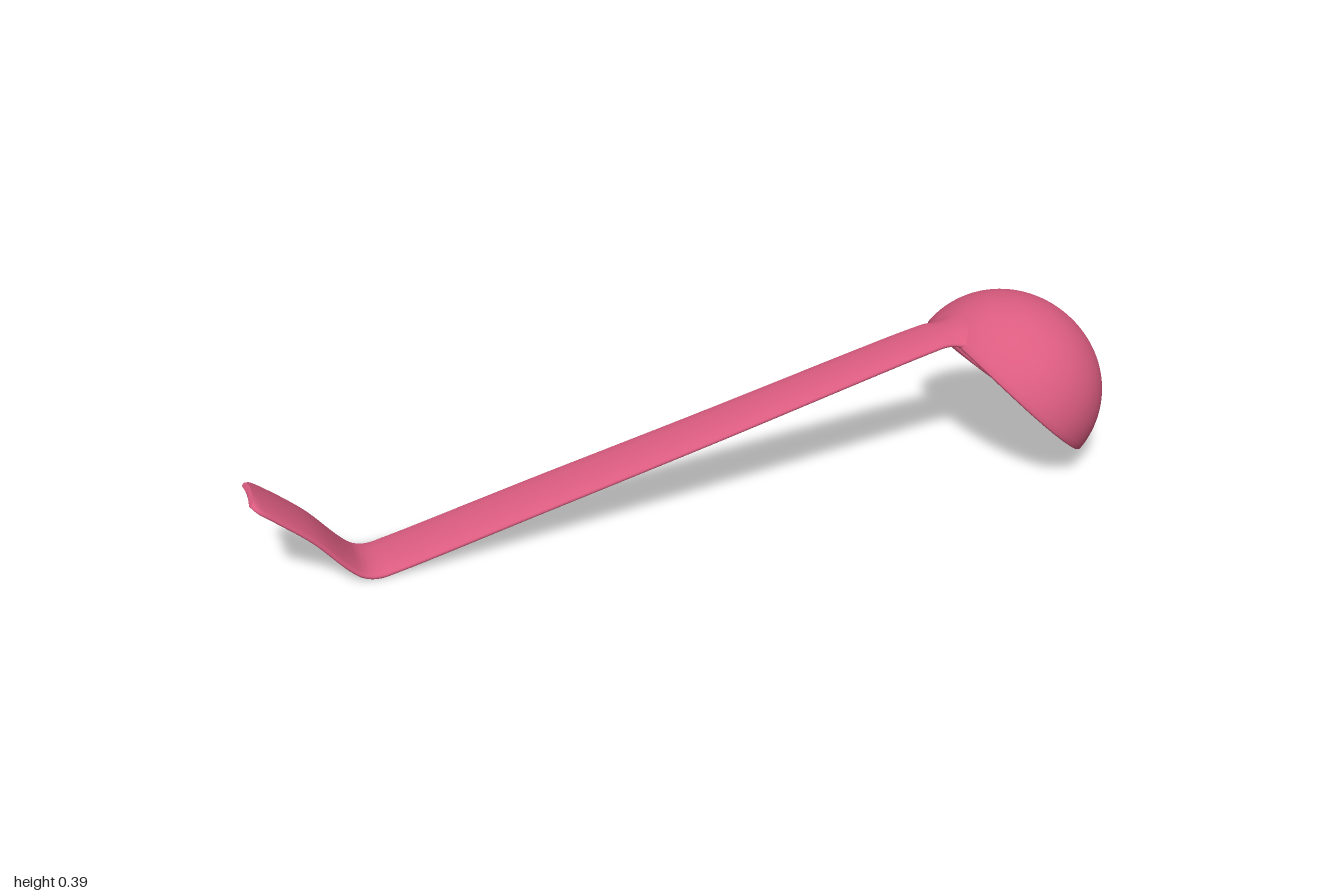
import * as THREE from 'three';
import { mergeVertices } from 'three/addons/utils/BufferGeometryUtils.js';

// Skin closed rings of points (first and last rings are collapsed to caps).
function loft(rings) {
  const n = rings[0].length;
  const index = [];
  for (let i = 0; i < rings.length - 1; i++) {
    for (let j = 0; j < n; j++) {
      const k = (j + 1) % n;
      const a = i * n + j, b = a + n, c = i * n + k, d = c + n;
      index.push(a, c, b, b, c, d);
    }
  }
  const geo = new THREE.BufferGeometry();
  geo.setAttribute('position', new THREE.Float32BufferAttribute(rings.flat(2), 3));
  geo.setIndex(index);
  const merged = mergeVertices(geo, 1e-5);
  merged.computeVertexNormals();
  return merged;
}

// Handle: arched strip following a bent path, flaring into the bowl.
function handleGeometry() {
  // x, y of the upper face and half width
  const path = new THREE.CatmullRomCurve3([
    [-0.998, 0.229, 0.05], [-0.985, 0.219, 0.066], [-0.95, 0.191, 0.071], [-0.88, 0.129, 0.073],
    [-0.81, 0.048, 0.074], [-0.785, 0.027, 0.074], [-0.76, 0.021, 0.074], [-0.72, 0.028, 0.074],
    [-0.4, 0.105, 0.073], [0, 0.2, 0.069], [0.5, 0.323, 0.063], [0.57, 0.338, 0.062],
    [0.595, 0.343, 0.065], [0.615, 0.347, 0.077], [0.635, 0.354, 0.1], [0.655, 0.361, 0.122],
  ].map((p) => new THREE.Vector3(...p)));
  const rings = [];
  const steps = 120, half = 14;
  for (let i = 0; i <= steps; i++) {
    const p = path.getPoint(i / steps);
    const t = path.getTangent(i / steps);
    const len = Math.hypot(t.x, t.y);
    const nx = -t.y / len, ny = t.x / len;
    const drop = 0.008 + 0.024 * THREE.MathUtils.smoothstep(p.x, 0.56, 0.65);
    const ring = [];
    for (let j = 0; j < half * 2; j++) {
      const angle = (j / half) * Math.PI;
      const c = -Math.cos(angle), s = Math.sin(angle);
      const v = Math.sign(c) * Math.abs(c) ** 0.7;
      const h = -0.007 + 0.007 * Math.sign(s) * Math.abs(s) ** 0.45 - drop * v * v;
      ring.push([p.x + nx * h, p.y + ny * h, p.z * v]);
    }
    rings.push(ring);
  }
  const cap = (ring) => {
    const m = [0, 1, 2].map((k) => ring.reduce((sum, q) => sum + q[k], 0) / ring.length);
    return ring.map(() => m);
  };
  return loft([cap(rings[0]), ...rings, cap(rings[steps])]);
}

// Bowl: hollow half ellipsoid with a rounded lip whose sides dip slightly.
function bowlGeometry() {
  const R = 0.225, depth = 0.215, wall = 0.013, n = 28;
  const profile = [];
  for (let i = 0; i <= n; i++) {
    const a = (1 - i / n) * Math.PI / 2;
    profile.push(new THREE.Vector2((R - wall) * Math.cos(a), (depth - wall) * Math.sin(a)));
  }
  profile.push(new THREE.Vector2(R - wall * 0.75, -0.004), new THREE.Vector2(R - wall * 0.25, -0.004));
  for (let i = 0; i <= n; i++) {
    const a = (i / n) * Math.PI / 2;
    profile.push(new THREE.Vector2(R * Math.cos(a), depth * Math.sin(a)));
  }
  profile[0].x = profile[profile.length - 1].x = 0;
  let geo = new THREE.LatheGeometry(profile, 64);
  geo.deleteAttribute('normal');
  geo.deleteAttribute('uv');
  geo = mergeVertices(geo, 1e-5);
  const pos = geo.attributes.position;
  for (let i = 0; i < pos.count; i++) {
    const x = pos.getX(i), y = pos.getY(i), z = pos.getZ(i);
    const dip = 0.014 * (z / R) ** 2 * Math.max(0, 1 - y / depth);
    pos.setXYZ(i, x, y - dip, z * 0.243 / R);
  }
  geo.computeVertexNormals();
  return geo;
}

export function createModel() {
  const pink = new THREE.MeshStandardMaterial({ color: 0xdb5c80, side: THREE.DoubleSide });
  pink.name = 'pink';
  const model = new THREE.Group();
  model.name = 'ladle';

  const handle = new THREE.Mesh(handleGeometry(), pink);
  handle.name = 'handle';

  const bowl = new THREE.Mesh(bowlGeometry(), pink);
  bowl.name = 'bowl';
  bowl.position.set(0.766, 0.17, 0);
  bowl.rotation.z = -0.746;

  model.add(handle, bowl);
  return model;
}
